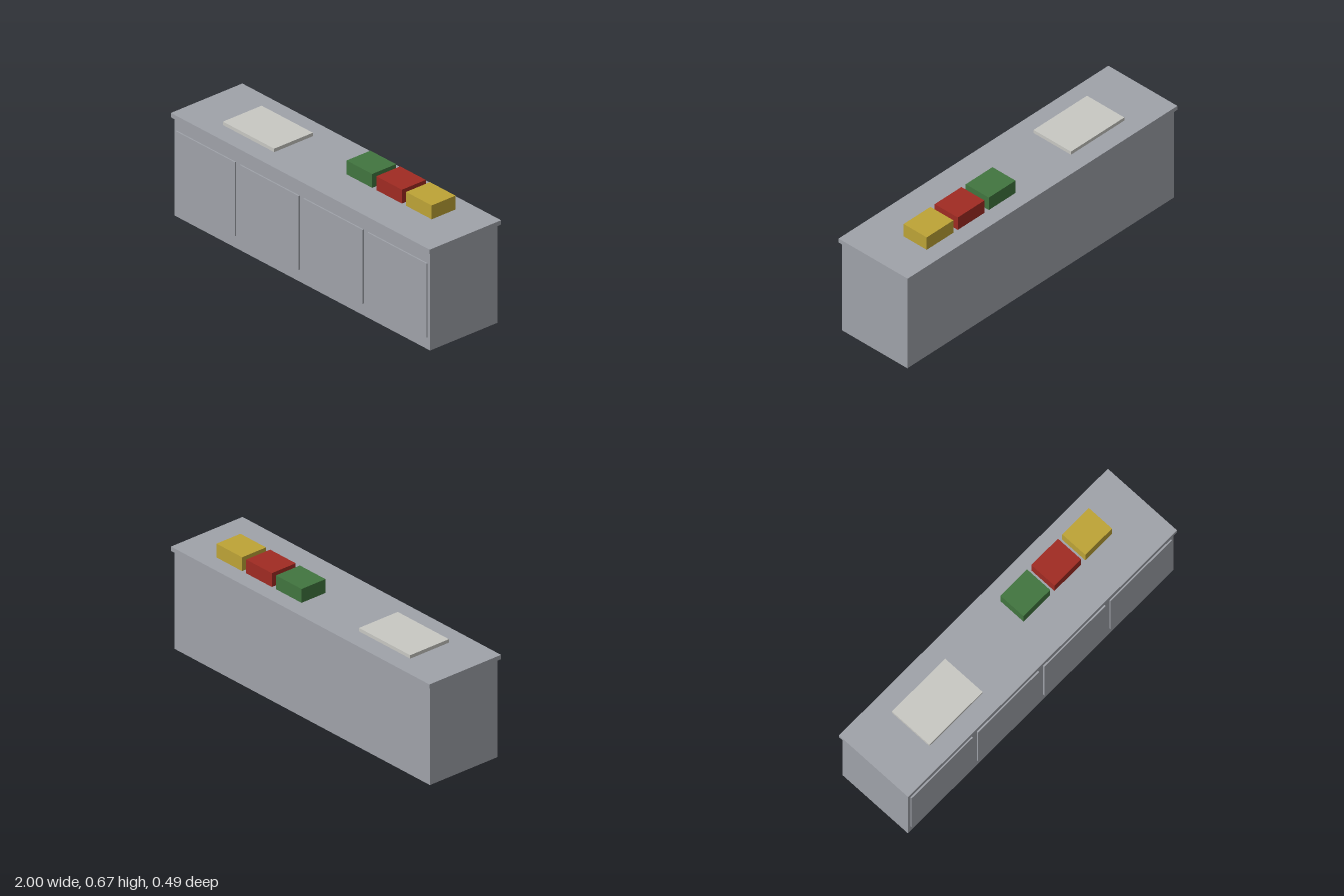
import * as THREE from 'three';

const paint = (name, color) => {
  const m = new THREE.MeshStandardMaterial({ color });
  m.name = name;
  return m;
};

export function createModel() {
  const group = new THREE.Group();
  group.name = 'counter';
  const steel = paint('steel grey', 0x9fa2a9);
  const board = paint('off white', 0xc8c8c3);
  const green = paint('green', 0x41753f);
  const red = paint('red', 0xa02b22);
  const yellow = paint('yellow', 0xbda336);

  // Box placed by its centre in x and z and by its underside in y
  const addBox = (name, material, w, h, d, x, y, z) => {
    const mesh = new THREE.Mesh(new THREE.BoxGeometry(w, h, d), material);
    mesh.name = name;
    mesh.position.set(x, y + h / 2, z);
    group.add(mesh);
  };

  // Cabinet and overhanging worktop
  const bodyWidth = 1.975, bodyHeight = 0.568, bodyDepth = 0.46;
  const topThickness = 0.025, topY = bodyHeight + topThickness;
  addBox('cabinet', steel, bodyWidth, bodyHeight, bodyDepth, 0, 0, 0);
  addBox('worktop', steel, 2, topThickness, 0.488, 0, bodyHeight, 0);

  // Four door panels, raised slightly from the front
  const bay = bodyWidth / 4;
  for (let i = 0; i < 4; i++) {
    addBox(`door${i + 1}`, steel, 0.456, 0.428, 0.016, (i - 1.5) * bay, 0.07, bodyDepth / 2);
  }

  // Cutting board and three food containers on the worktop
  addBox('cuttingBoard', board, 0.396, 0.02, 0.264, -0.526, topY, 0);
  [['greenContainer', green], ['redContainer', red], ['yellowContainer', yellow]].forEach(([name, material], i) =>
    addBox(name, material, 0.198, 0.08, 0.163, 0.198 + i * 0.23, topY, -0.066));

  return group;
}
